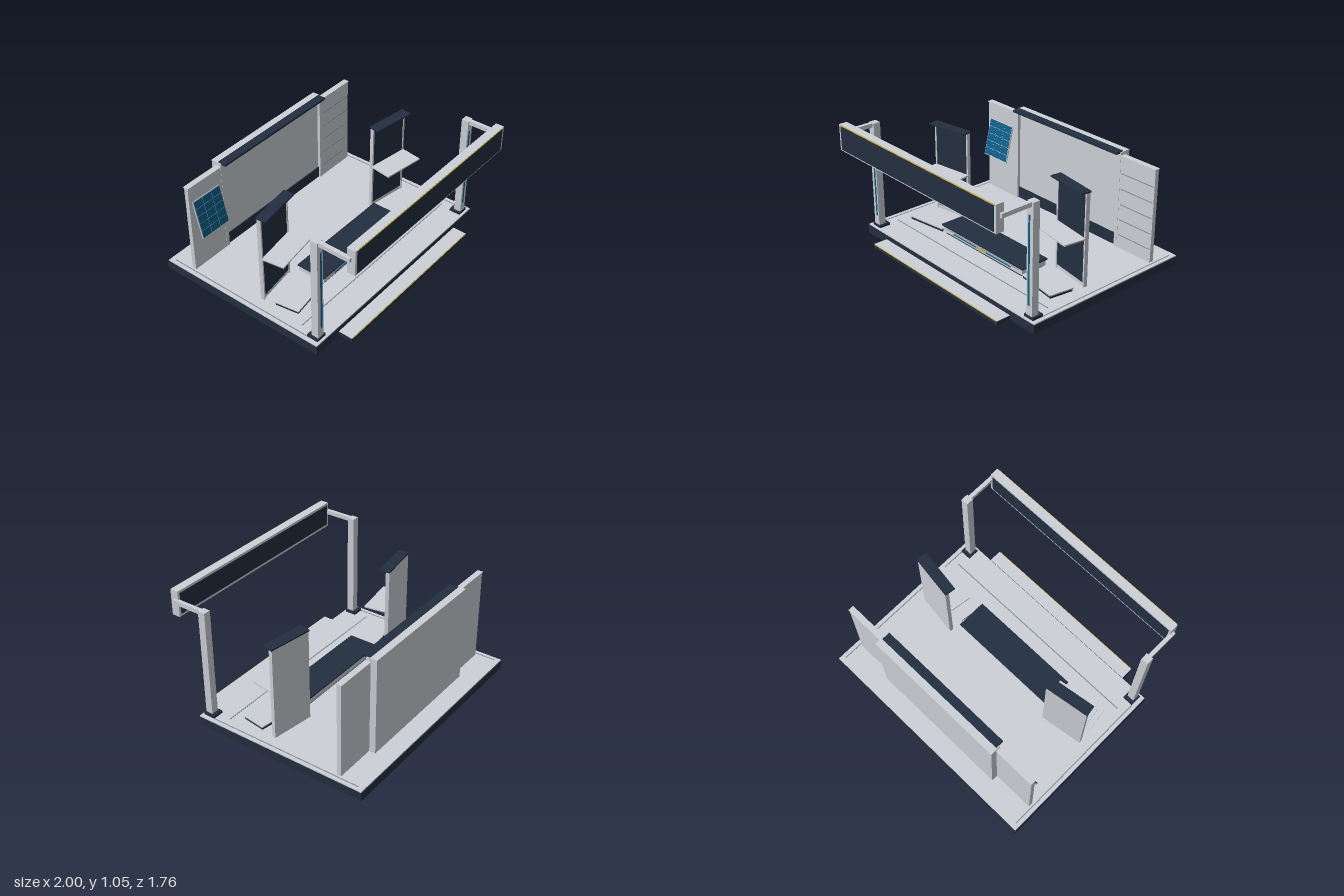
import * as THREE from 'three';

const mat = (name, color) => {
  const m = new THREE.MeshStandardMaterial({ color });
  m.name = name;
  return m;
};

export function createModel() {
  const light = mat('pale grey', 0xcdd2d8);
  const navy = mat('navy', 0x232f40);
  const blue = mat('blue', 0x0f5f88);
  const yellow = mat('yellow', 0xd8b020);
  const grey = mat('line grey', 0x858c95);

  const root = new THREE.Group();
  root.name = 'exhibitionStand';

  // Box given by its limits on each axis
  const box = (parent, name, m, [x0, x1], [y0, y1], [z0, z1]) => {
    const mesh = new THREE.Mesh(new THREE.BoxGeometry(x1 - x0, y1 - y0, z1 - z0), m);
    mesh.position.set((x0 + x1) / 2, (y0 + y1) / 2, (z0 + z1) / 2);
    mesh.name = name;
    parent.add(mesh);
    return mesh;
  };
  const group = (name, parent = root) => {
    const g = new THREE.Group();
    g.name = name;
    parent.add(g);
    return g;
  };

  // Platform: rim open underneath, with a pale floor
  const platform = group('platform');
  box(platform, 'deck', navy, [-1, 1], [0.045, 0.07], [-0.88, 0.61]);
  box(platform, 'frontRim', navy, [-1, 1], [0, 0.045], [0.59, 0.61]);
  box(platform, 'backRim', navy, [-1, 1], [0, 0.045], [-0.88, -0.86]);
  for (const s of [-1, 1]) {
    box(platform, 'sideRim', navy, [s * 0.99 - 0.01, s * 0.99 + 0.01], [0, 0.045], [-0.86, 0.59]);
    box(platform, 'sideFloorLine', grey, [s * 0.96 - 0.004, s * 0.96 + 0.004], [0.076, 0.08], [-0.83, 0.49]);
  }
  box(platform, 'floor', light, [-0.995, 0.995], [0.07, 0.078], [-0.875, 0.605]);
  box(platform, 'frontFloorLine', grey, [-0.9, 0.9], [0.076, 0.08], [0.386, 0.394]);

  // Entrance step
  const step = group('step');
  box(step, 'stepBody', navy, [-0.75, 0.75], [0, 0.031], [0.61, 0.73]);
  box(step, 'stepTread', light, [-0.747, 0.747], [0.031, 0.036], [0.61, 0.727]);
  box(step, 'stepEdge', yellow, [-0.74, 0.74], [0.029, 0.033], [0.728, 0.732]);

  // Front posts with light strips and arms carrying the header
  for (const s of [-1, 1]) {
    const post = group('frontPost');
    const x = s * 0.915;
    box(post, 'postFoot', navy, [x - 0.046, x + 0.046], [0.078, 0.1], [0.49, 0.585]);
    box(post, 'postColumn', light, [x - 0.03, x + 0.03], [0.1, 0.98], [0.52, 0.58]);
    box(post, 'postLightStrip', blue, [s * 0.908 - 0.008, s * 0.908 + 0.008], [0.18, 0.88], [0.578, 0.583]);
    box(post, 'postArm', light, [x - 0.016, x + 0.016], [0.946, 0.98], [0.58, 0.84]);
  }
  const header = group('header');
  box(header, 'headerBody', light, [-0.91, 0.91], [0.835, 1.048], [0.803, 0.872]);
  box(header, 'headerFrontPanel', navy, [-0.89, 0.89], [0.845, 1.036], [0.872, 0.875]);
  box(header, 'headerBackPanel', navy, [-0.89, 0.89], [0.855, 1.028], [0.8, 0.803]);
  box(header, 'headerTrim', yellow, [-0.9, 0.9], [1.04, 1.046], [0.87, 0.876]);

  // Back wall
  const wall = group('backWall');
  box(wall, 'wallPanel', light, [-0.595, 0.595], [0.078, 0.88], [-0.72, -0.655]);
  box(wall, 'wallCanopy', navy, [-0.585, 0.585], [0.866, 0.884], [-0.66, -0.59]);
  box(wall, 'wallSkirting', navy, [-0.565, 0.565], [0.078, 0.175], [-0.655, -0.645]);
  for (const s of [-1, 1]) {
    box(wall, 'wallTrim', light, [s * 0.58 - 0.015, s * 0.58 + 0.015], [0.078, 0.875], [-0.655, -0.63]);
    const x = s * 0.7675;
    box(wall, 'sidePanel', light, [x - 0.1725, x + 0.1725], [0.078, 0.846], [-0.668, -0.632]);
    box(wall, 'sidePanelCap', light, [x - 0.175, x + 0.175], [0.846, 0.854], [-0.674, -0.626]);
  }
  for (let i = 0; i < 5; i++) {
    const y = 0.19 + i * 0.13;
    box(wall, 'slatGroove', grey, [0.61, 0.93], [y - 0.003, y + 0.003], [-0.633, -0.629]);
  }

  // Tilted tile board leaning on the wall
  const board = group('tileBoard');
  board.position.set(-0.768, 0.555, -0.593);
  board.rotation.x = -0.237;
  box(board, 'boardBack', light, [-0.14, 0.14], [-0.16, 0.16], [-0.006, 0.004]);
  for (let c = 0; c < 3; c++) {
    for (let r = 0; r < 5; r++) {
      const x = (c - 1) * 0.091, y = (r - 2) * 0.062;
      box(board, 'tile', blue, [x - 0.043, x + 0.043], [y - 0.029, y + 0.029], [0.004, 0.007]);
    }
  }

  // Angled display screens, each with canopy and shelf, and a low plinth in front
  for (const s of [-1, 1]) {
    const screen = group('displayScreen');
    screen.position.set(s * 0.695, 0, -0.04);
    screen.rotation.y = -s * 0.147;
    box(screen, 'screenPanel', light, [-0.178, 0.178], [0.078, 0.84], [-0.014, 0.01]);
    box(screen, 'screenFace', navy, [-0.165, 0.165], [0.11, 0.825], [0.01, 0.013]);
    for (const e of [-1, 1]) {
      box(screen, 'screenEdge', light, [e * 0.171 - 0.007, e * 0.171 + 0.007], [0.078, 0.84], [0.01, 0.018]);
    }
    box(screen, 'screenCanopy', navy, [-0.185, 0.185], [0.84, 0.852], [-0.018, 0.072]);
    box(screen, 'shelf', light, [-0.18, 0.18], [0.468, 0.48], [0.013, 0.2]);
    box(screen, 'shelfBracket', light, [-0.15, 0.15], [0.458, 0.468], [0.05, 0.185]);

    const plinth = group('plinth');
    plinth.position.set(s * 0.672, 0, 0.177);
    plinth.rotation.y = -s * 0.147;
    box(plinth, 'plinthBase', navy, [-0.175, 0.175], [0.084, 0.104], [-0.098, 0.098]);
    box(plinth, 'plinthFoot', navy, [-0.155, 0.155], [0.078, 0.084], [-0.08, 0.08]);
    box(plinth, 'plinthTop', light, [-0.18, 0.18], [0.104, 0.114], [-0.103, 0.103]);
  }

  // Low counter in the middle
  const counter = group('counter');
  box(counter, 'counterBase', navy, [-0.45, 0.45], [0.078, 0.097], [0.02, 0.235]);
  box(counter, 'counterBody', light, [-0.47, 0.47], [0.097, 0.146], [0.008, 0.247]);
  box(counter, 'counterTop', navy, [-0.482, 0.482], [0.146, 0.157], [0, 0.255]);
  box(counter, 'counterGroove', grey, [-0.44, 0.44], [0.129, 0.133], [0.246, 0.249]);
  box(counter, 'counterLightStrip', blue, [-0.34, 0.34], [0.111, 0.121], [0.246, 0.25]);
  box(counter, 'counterAccent', yellow, [-0.06, 0.06], [0.111, 0.121], [0.249, 0.252]);

  return root;
}
